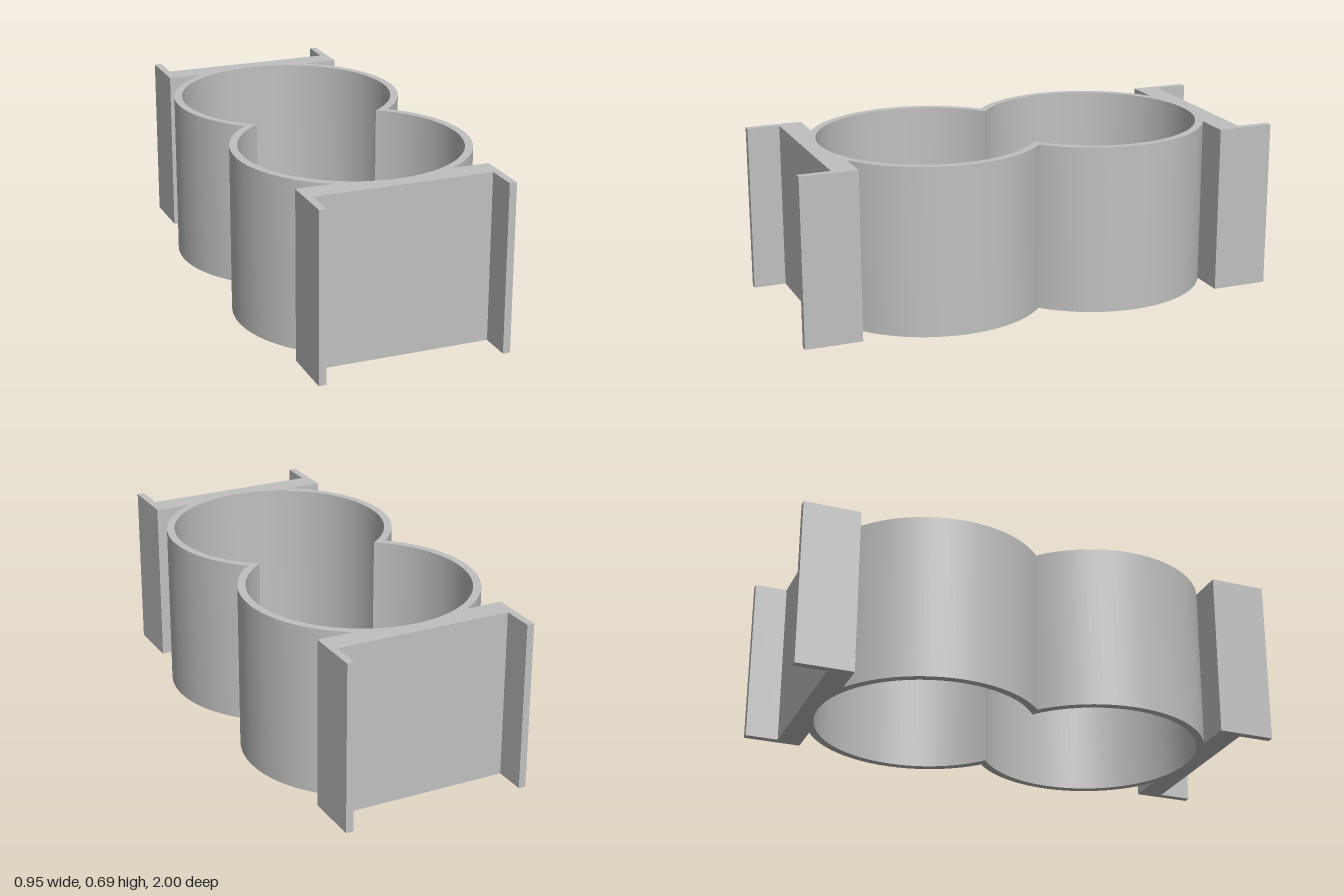
import * as THREE from 'three';
import { toCreasedNormals } from 'three/addons/utils/BufferGeometryUtils.js';

const HEIGHT = 0.685;
const CENTRE = 0.358;            // ring centres sit at z = +-CENTRE
const OUTER = 0.475, INNER = 0.443;
const HALF_WIDTH = 0.39, LIP = 0.03;
const PLATE_IN = 0.768, PLATE_OUT = 0.867, END = 1;

// Points along an arc about (0, cy); the last one is left out when the next arc starts there
function arc(cy, r, from, to, n, skipLast = false) {
  const pts = [];
  for (let i = 0; i <= n - (skipLast ? 1 : 0); i++) {
    const a = from + (to - from) * i / n;
    pts.push(new THREE.Vector2(r * Math.cos(a), cy + r * Math.sin(a)));
  }
  return pts;
}

// End bracket: a plate with two lips pointing outwards
function bracket(sign) {
  const inner = HALF_WIDTH - LIP;
  return [
    [HALF_WIDTH, PLATE_IN], [HALF_WIDTH, END], [inner, END], [inner, PLATE_OUT],
    [-inner, PLATE_OUT], [-inner, END], [-HALF_WIDTH, END], [-HALF_WIDTH, PLATE_IN],
  ].map(([x, y]) => new THREE.Vector2(x * sign, y * sign));
}

export function createModel() {
  const grey = new THREE.MeshStandardMaterial({ color: 0xc0c0c0 });
  grey.name = 'light grey';

  const cusp = Math.asin(CENTRE / OUTER);               // where the two rings meet
  const join = Math.asin((PLATE_IN - CENTRE) / OUTER);  // where a ring meets its plate
  const PI = Math.PI;

  // Outer outline: both rings and both end brackets in one piece
  const shape = new THREE.Shape([
    ...arc(CENTRE, OUTER, -cusp, join, 40),
    ...bracket(1),
    ...arc(CENTRE, OUTER, PI - join, PI + cusp, 40, true),
    ...arc(-CENTRE, OUTER, PI - cusp, PI + join, 40),
    ...bracket(-1),
    ...arc(-CENTRE, OUTER, -join, cusp, 40, true),
  ]);

  // Figure-eight opening
  const innerCusp = Math.asin(CENTRE / INNER);
  shape.holes.push(new THREE.Path([
    ...arc(CENTRE, INNER, -innerCusp, PI + innerCusp, 96, true),
    ...arc(-CENTRE, INNER, PI - innerCusp, 2 * PI + innerCusp, 96, true),
  ]));

  const extruded = new THREE.ExtrudeGeometry(shape, { depth: HEIGHT, bevelEnabled: false });
  extruded.rotateX(-PI / 2);
  const holder = new THREE.Mesh(toCreasedNormals(extruded, 0.4), grey);
  holder.name = 'doubleRingHolder';

  const group = new THREE.Group();
  group.name = 'doubleRingBracket';
  group.add(holder);
  return group;
}
